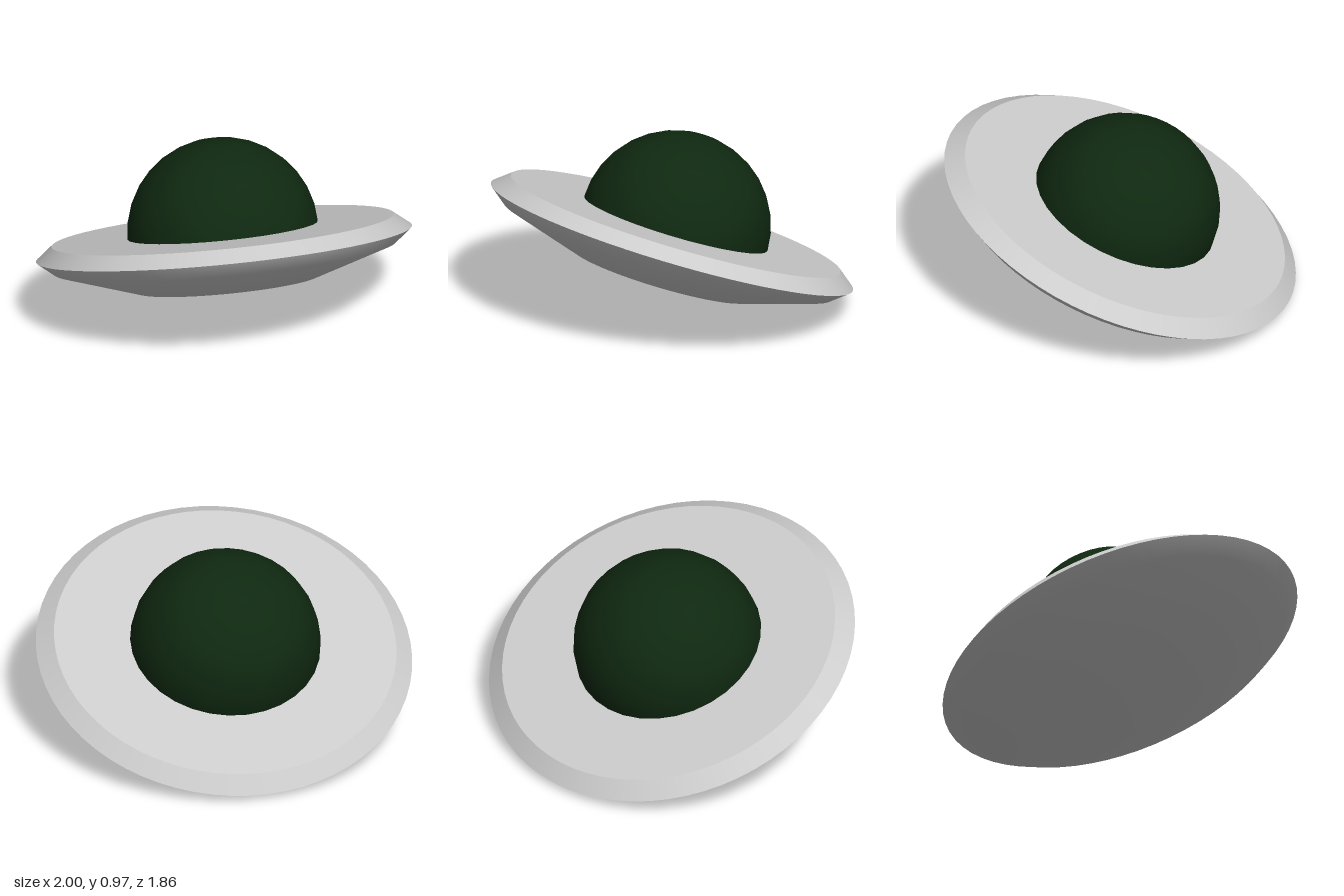
import * as THREE from 'three';

export function createModel() {
  const hull = new THREE.MeshStandardMaterial({ color: 0xcccccc });
  hull.name = 'hull grey';
  const glass = new THREE.MeshStandardMaterial({ color: 0x0f2810 });
  glass.name = 'dark green glass';

  const model = new THREE.Group();
  model.name = 'flyingSaucer';

  // The whole saucer leans back with its front edge raised
  const saucer = new THREE.Group();
  saucer.name = 'saucer';
  saucer.position.y = 0.408;
  saucer.rotation.x = -0.377;
  model.add(saucer);

  const SIDES = 64;
  const addPart = (name, geometry, material) => {
    const mesh = new THREE.Mesh(geometry, material);
    mesh.name = name;
    saucer.add(mesh);
    return mesh;
  };
  const lathe = (points) =>
    new THREE.LatheGeometry(points.map(([r, y]) => new THREE.Vector2(r, y)), SIDES);

  // Smooth underside, from the flat belly out to the rim
  addPart('underside', lathe([[0, -0.214], [0.485, -0.214], [0.91, -0.073], [1, 0]]), hull);

  // Bevel above the rim and flat deck, with sharp edges between them
  addPart('upperRim', lathe([[1, 0], [0.91, 0.072]]), hull);
  const deck = addPart('deck', new THREE.CircleGeometry(0.91, SIDES), hull);
  deck.rotation.x = -Math.PI / 2;
  deck.position.y = 0.072;

  // Cockpit dome
  const dome = addPart('dome',
    new THREE.SphereGeometry(0.506, 32, 8, 0, Math.PI * 2, 0, Math.PI / 2), glass);
  dome.position.y = 0.07;
  dome.scale.y = 0.98;

  return model;
}
